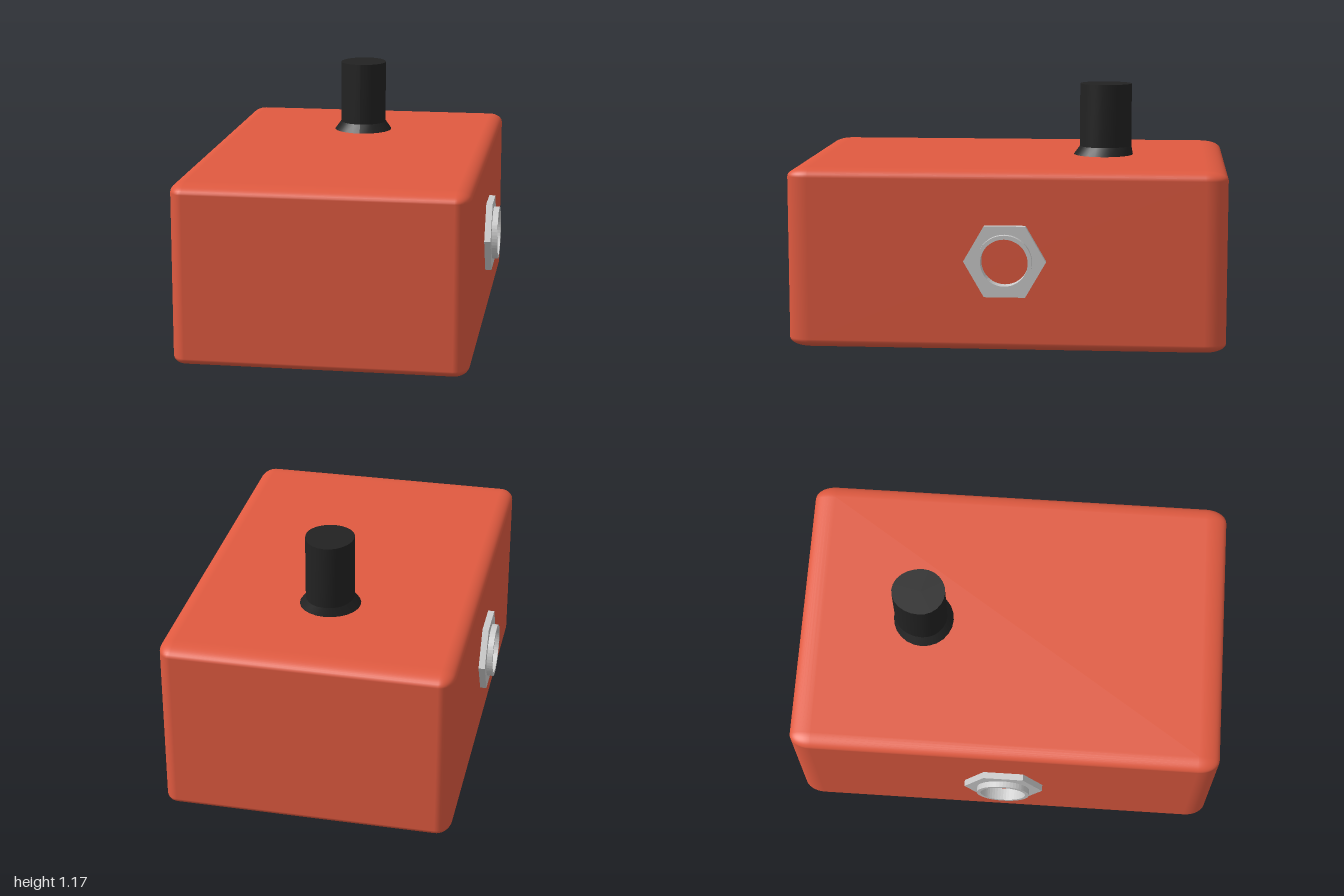
import * as THREE from 'three';
import { RoundedBoxGeometry } from 'three/addons/geometries/RoundedBoxGeometry.js';

const red = new THREE.MeshStandardMaterial({ color: 0xe05a40 });
const black = new THREE.MeshStandardMaterial({ color: 0x222222 });
const grey = new THREE.MeshStandardMaterial({ color: 0xcccccc });

function part(parent, name, geometry, material) {
  const mesh = new THREE.Mesh(geometry, material);
  mesh.name = name;
  parent.add(mesh);
  return mesh;
}

// Tapered column whose rear half bulges slightly backwards
function column(rTop, rBottom, height, rearTop, rearBottom) {
  const g = new THREE.CylinderGeometry(rTop, rBottom, height, 24);
  const p = g.attributes.position;
  for (let i = 0; i < p.count; i++) {
    const k = p.getY(i) > 0 ? rearTop / rTop : rearBottom / rBottom;
    if (p.getZ(i) < 0) p.setZ(i, p.getZ(i) * k);
  }
  g.computeVertexNormals();
  return g;
}

// Socket: hexagonal nut with a round hole and a raised collar, facing +z before turning
function makeSocket(name) {
  const socket = new THREE.Group();
  socket.name = name;
  const hex = new THREE.Shape();
  for (let i = 0; i < 6; i++) {
    const a = i * Math.PI / 3;
    hex[i ? 'lineTo' : 'moveTo'](0.187 * Math.cos(a), 0.187 * Math.sin(a));
  }
  hex.closePath();
  hex.holes.push(new THREE.Path().absarc(0, 0, 0.115, 0, Math.PI * 2, true));
  part(socket, 'hexNut', new THREE.ExtrudeGeometry(hex, { depth: 0.035, bevelEnabled: false, curveSegments: 24 }), grey);

  const ring = new THREE.Shape().absarc(0, 0, 0.125, 0, Math.PI * 2, false);
  ring.holes.push(new THREE.Path().absarc(0, 0, 0.107, 0, Math.PI * 2, true));
  part(socket, 'collar', new THREE.ExtrudeGeometry(ring, { depth: 0.062, bevelEnabled: false, curveSegments: 24 }), grey);
  return socket;
}

export function createModel() {
  const model = new THREE.Group();
  model.name = 'stompBox';

  // Housing: the rounding stretches with each side
  const body = new RoundedBoxGeometry(1, 1, 1, 5, 0.05);
  body.scale(1.33, 0.83, 2);
  part(model, 'housing', body, red).position.y = 0.415;

  // Foot switch
  const footSwitch = new THREE.Group();
  footSwitch.name = 'footSwitch';
  footSwitch.position.set(0, 0.83, -0.42);
  part(footSwitch, 'switchFlange', column(0.11, 0.143, 0.045, 0.135, 0.143), black).position.y = 0.02;
  part(footSwitch, 'switchShaft', column(0.112, 0.112, 0.34, 0.135, 0.135), black).position.y = 0.17;
  model.add(footSwitch);

  // One socket on each side
  for (const side of [1, -1]) {
    const socket = makeSocket(side > 0 ? 'leftSocket' : 'rightSocket');
    socket.position.set(side * 0.66, 0.42, 0);
    socket.rotation.y = side * Math.PI / 2;
    model.add(socket);
  }
  return model;
}
